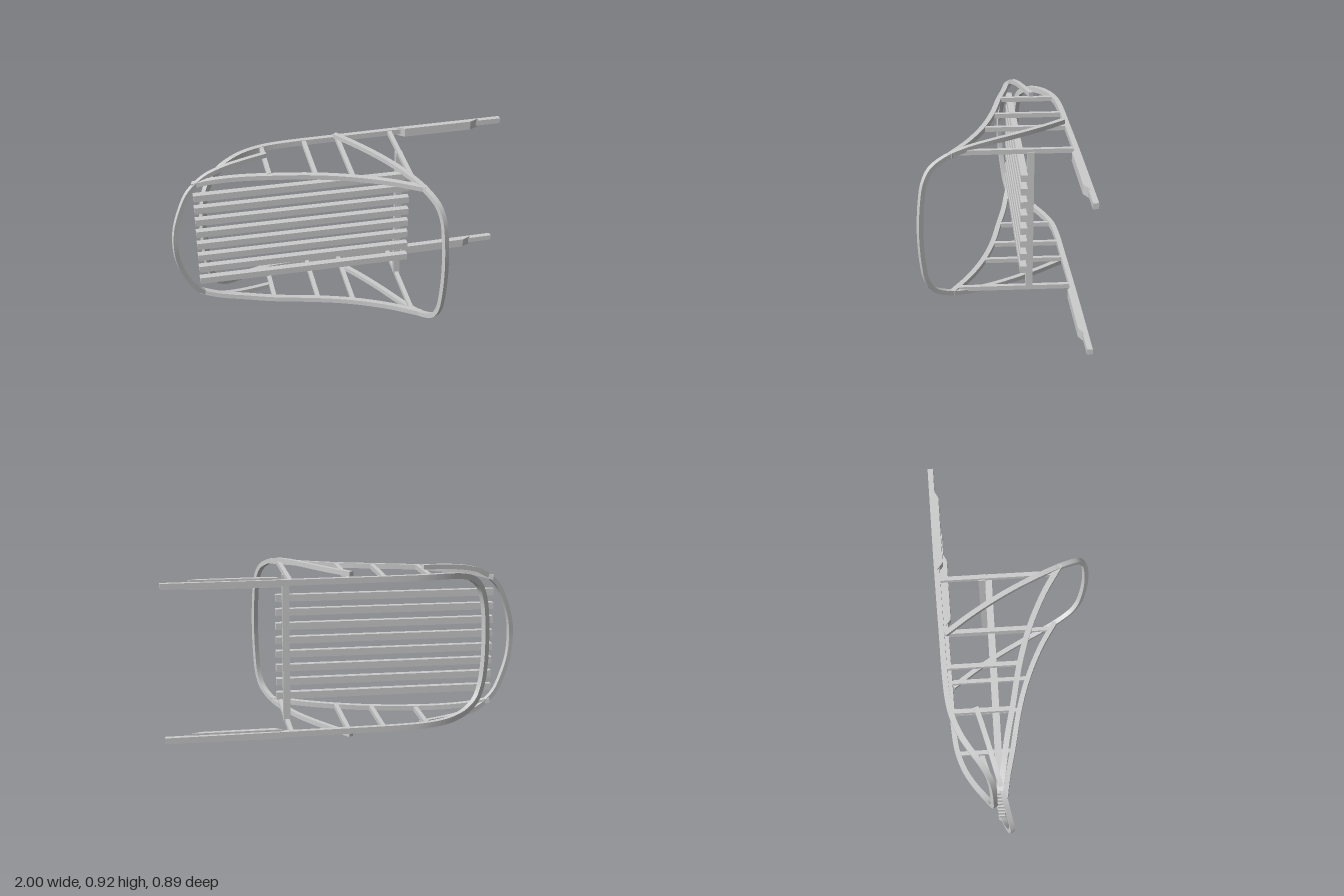
import * as THREE from 'three';
import { toCreasedNormals } from 'three/addons/utils/BufferGeometryUtils.js';

const MID = 0.4625; // mirror plane height between the two sides
const mat = new THREE.MeshStandardMaterial({ color: 0xcccccc });

export function createModel() {
  const model = new THREE.Group();

  const add = (name, geometry, x = 0, y = 0, z = 0) => {
    const mesh = new THREE.Mesh(geometry, mat);
    mesh.name = name;
    mesh.position.set(x, y, z);
    model.add(mesh);
    return mesh;
  };

  const flip = ([x, y, z]) => [x, 2 * MID - y, z];

  // square bar swept along a smooth path
  const bar = (name, points, a, b, steps) => {
    const path = new THREE.CatmullRomCurve3(points.map(p => new THREE.Vector3(...p)), false, 'centripetal');
    const s = new THREE.Shape([[-a, -b], [a, -b], [a, b], [-a, b]].map(p => new THREE.Vector2(p[0] / 2, p[1] / 2)));
    const g = new THREE.ExtrudeGeometry(s, { steps, extrudePath: path, bevelEnabled: false });
    return add(name, toCreasedNormals(g, 0.6));
  };

  // half of a U-shaped bar, ending on the mirror plane, completed by reflection
  const loop = (name, half, a, b) =>
    bar(name, [...half, ...half.slice(0, -1).reverse().map(flip)], a, b, 120);

  // runners, joined by a bend at the nose
  loop('runners', [
    [1, 0.879, -0.43], [0.4, 0.879, -0.417], [0, 0.879, -0.405], [-0.3, 0.879, -0.394],
    [-0.43, 0.878, -0.378], [-0.55, 0.874, -0.337], [-0.64, 0.862, -0.285], [-0.71, 0.838, -0.235],
    [-0.765, 0.79, -0.198], [-0.798, 0.7, -0.181], [-0.812, 0.58, -0.176], [-0.815, MID, -0.175],
  ], 0.032, 0.03);

  // front bumper bow
  loop('frontBow', [
    [-0.43, 0.91, -0.24], [-0.6, 0.9, -0.195], [-0.7, 0.886, -0.17], [-0.79, 0.858, -0.147],
    [-0.885, 0.785, -0.12], [-0.94, 0.68, -0.104], [-0.975, 0.57, -0.092], [-0.985, MID, -0.086],
  ], 0.026, 0.026);

  // handle bow rising from the runners
  loop('handleBow', [
    [-0.01, 0.909, -0.385], [0.09, 0.909, -0.245], [0.18, 0.909, -0.1], [0.25, 0.907, 0.03],
    [0.32, 0.896, 0.175], [0.37, 0.872, 0.28], [0.41, 0.825, 0.36], [0.43, 0.755, 0.397],
    [0.439, 0.65, 0.415], [0.444, MID, 0.425],
  ], 0.026, 0.028);

  // curved upper rails
  const railPath = [
    [-0.86, 0.822, -0.14], [-0.75, 0.848, -0.117], [-0.6, 0.865, -0.09], [-0.43, 0.876, -0.05],
    [-0.2, 0.88, 0], [0, 0.88, 0.063], [0.2, 0.88, 0.155], [0.365, 0.88, 0.258],
  ];
  bar('leftUpperRail', railPath, 0.03, 0.028, 48);
  bar('rightUpperRail', railPath.map(flip), 0.03, 0.028, 48);

  // sole blocks with tapered ends, and uprights, on both sides
  const sole = new THREE.Shape([[0.37, -0.415], [0.41, -0.383], [0.81, -0.391], [0.86, -0.417]]
    .map(p => new THREE.Vector2(...p)));
  const soleGeo = new THREE.ExtrudeGeometry(sole, { depth: 0.052, bevelEnabled: false });
  soleGeo.rotateX(Math.PI / 2);
  const uprights = [[-0.44, -0.38, -0.055], [-0.19, -0.395, 0], [0.007, -0.4, 0.063], [0.32, -0.41, 0.23]];
  for (const y of [2 * MID - 0.879, 0.879]) {
    add('soleBlock', soleGeo, 0, y + 0.026, 0);
    for (const [x, z0, z1] of uprights) {
      add('upright', new THREE.BoxGeometry(0.024, 0.026, z1 - z0), x, y, (z0 + z1) / 2);
    }
  }

  // seat slats and the crossbar carrying them
  const slatGeo = new THREE.BoxGeometry(1.235, 0.039, 0.038);
  for (let i = 0; i < 8; i++) add('seatSlat', slatGeo, -0.243, MID + (i - 3.5) * 0.0794, -0.138);
  add('crossbar', new THREE.BoxGeometry(0.038, 0.83, 0.038), 0.321, MID, -0.174);

  return model;
}
